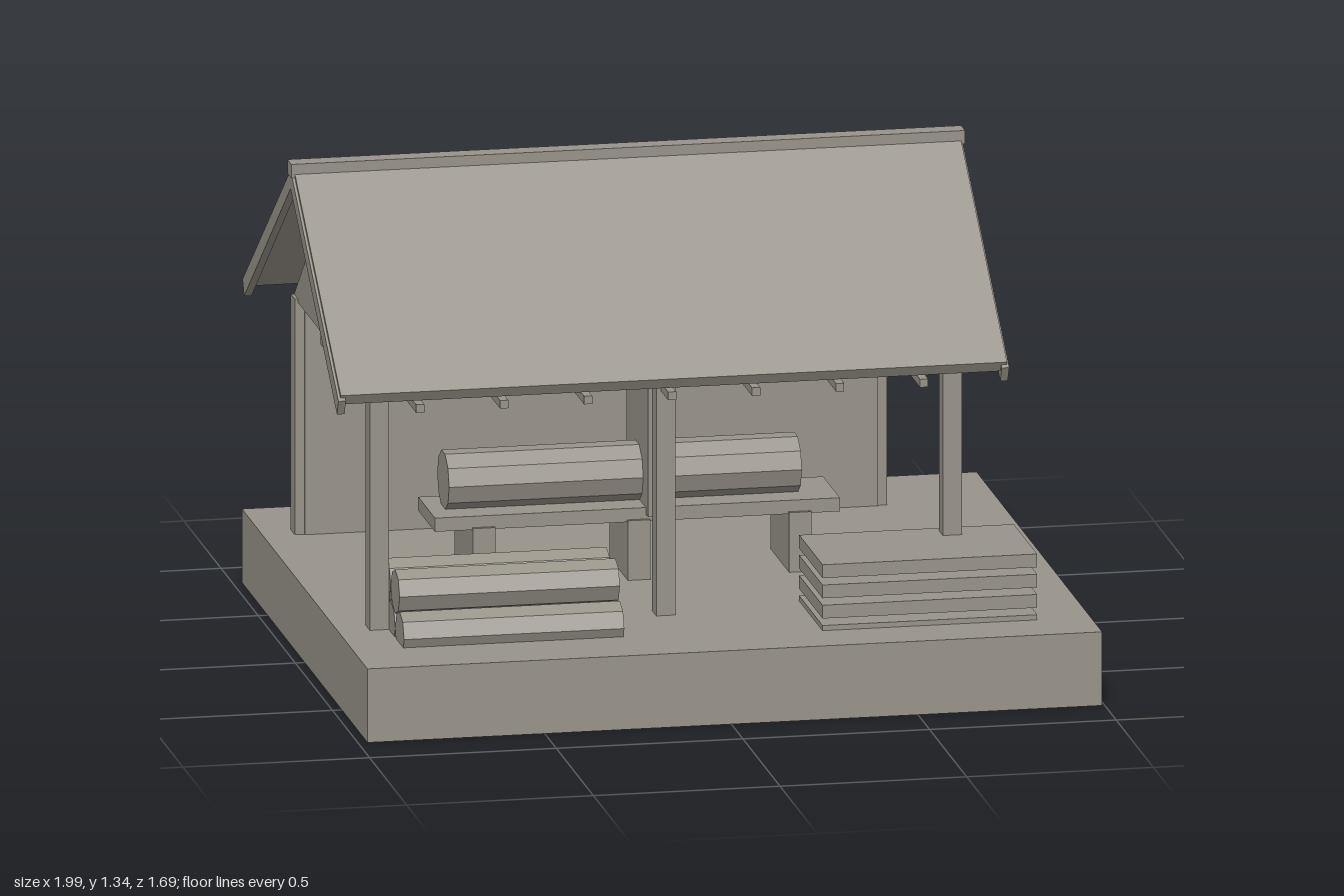
import * as THREE from 'three';

const RIDGE_Z = -0.08; // roof is mirrored about this line
const MID_X = -0.0975; // shed frame is mirrored about this plane

export function createModel() {
  const model = new THREE.Group();
  const stone = new THREE.MeshStandardMaterial({ color: 0x99948a });
  stone.name = 'warmGrey';

  const add = (name, geometry) => {
    const mesh = new THREE.Mesh(geometry, stone);
    mesh.name = name;
    model.add(mesh);
    return mesh;
  };

  // Box from its extents
  const box = (name, x0, x1, y0, y1, z0, z1) => {
    const mesh = add(name, new THREE.BoxGeometry(x1 - x0, y1 - y0, z1 - z0));
    mesh.position.set((x0 + x1) / 2, (y0 + y1) / 2, (z0 + z1) / 2);
    return mesh;
  };

  // Prism along x from a [z, y] outline
  const prism = (name, outline, x0, x1) => {
    const shape = new THREE.Shape(outline.map(([z, y]) => new THREE.Vector2(z, y)));
    const g = new THREE.ExtrudeGeometry(shape, { depth: x1 - x0, bevelEnabled: false });
    g.rotateY(-Math.PI / 2);
    g.translate(x1, 0, 0);
    return add(name, g);
  };

  // Faceted log lying along x
  const log = (name, x0, x1, y, z, radius, sides) => {
    const g = new THREE.CylinderGeometry(radius, radius, x1 - x0, sides).toNonIndexed();
    g.rotateZ(Math.PI / 2);
    g.computeVertexNormals();
    add(name, g).position.set((x0 + x1) / 2, y, z);
  };

  // Ground slab
  box('base', -0.975, 0.993, 0, 0.2, -0.845, 0.845);

  // Posts and back wall
  for (const x of [-0.865, MID_X, 0.67]) {
    box('frontPost', x - 0.026, x + 0.026, 0.2, 0.84, 0.4, 0.455);
    box('backPost', x - 0.026, x + 0.026, 0.2, 0.84, -0.61, -0.555);
  }
  box('backWall', -0.865, 0.67, 0.2, 0.83, -0.585, -0.55);

  // Roof slopes and edge boards
  const mirrorZ = (pts) => pts.map(([z, y]) => [2 * RIDGE_Z - z, y]);
  const slope = [[-0.08, 1.33], [0.562, 0.87], [0.545, 0.842], [-0.08, 1.293]];
  const barge = [[-0.08, 1.318], [0.566, 0.856], [0.545, 0.815], [-0.08, 1.268]];
  for (const flip of [(p) => p, mirrorZ]) {
    prism('roofSlope', flip(slope), -0.99, 0.795);
    prism('edgeBoard', flip(barge), -0.997, -0.977);
    prism('edgeBoard', flip(barge), 0.78, 0.8);
  }
  box('ridgeBeam', -1, 0.805, 1.303, 1.34, -0.108, -0.055);

  // Joist ends under the eaves
  for (let i = 0; i < 7; i++) {
    const x = -0.775 + i * 0.225;
    box('frontJoist', x - 0.011, x + 0.011, 0.81, 0.832, 0.43, 0.55);
    box('backJoist', x - 0.011, x + 0.011, 0.81, 0.832, -0.71, -0.59);
  }

  // Gables with cross braces, one at each end
  const gable = [[0.46, 0.83], [-0.08, 1.285], [-0.62, 0.83]];
  for (const s of [-1, 1]) {
    const span = (a, b) => [MID_X + s * a, MID_X + s * b].sort((p, q) => p - q);
    prism('gable', gable, ...span(0.75, 0.785));
    box('kingPost', ...span(0.78, 0.815), 0.835, 1.275, -0.098, -0.063);
    box('crossBrace', ...span(0.78, 0.808), 1.027, 1.056, -0.37, 0.21);
    box('gableBlock', ...span(0.78, 0.8), 1.03, 1.157, -0.13, -0.033);
  }

  // Saw bench with a log and an upright blade
  for (const x of [-0.51, -0.095, 0.337]) {
    box('benchLeg', x - 0.03, x + 0.03, 0.2, 0.362, -0.17, 0.08);
  }
  box('benchTop', -0.64, 0.445, 0.356, 0.393, -0.155, 0.07);
  log('benchLog', -0.595, 0.35, 0.465, -0.045, 0.08, 10);
  box('blade', -0.075, -0.05, 0.375, 0.76, -0.19, 0.1);

  // Log pile
  for (const z of [0.36, 0.48, 0.6]) log('pileLog', -0.84, -0.25, 0.225, z, 0.06, 8);
  for (const z of [0.42, 0.54]) log('pileLog', -0.84, -0.25, 0.325, z, 0.06, 8);

  // Plank stack
  for (let i = 0; i < 4; i++) {
    const y = 0.196 + i * 0.055;
    box('plank', 0.275, 0.85, y - 0.018, y + 0.018, 0.375, 0.69);
  }

  return model;
}
